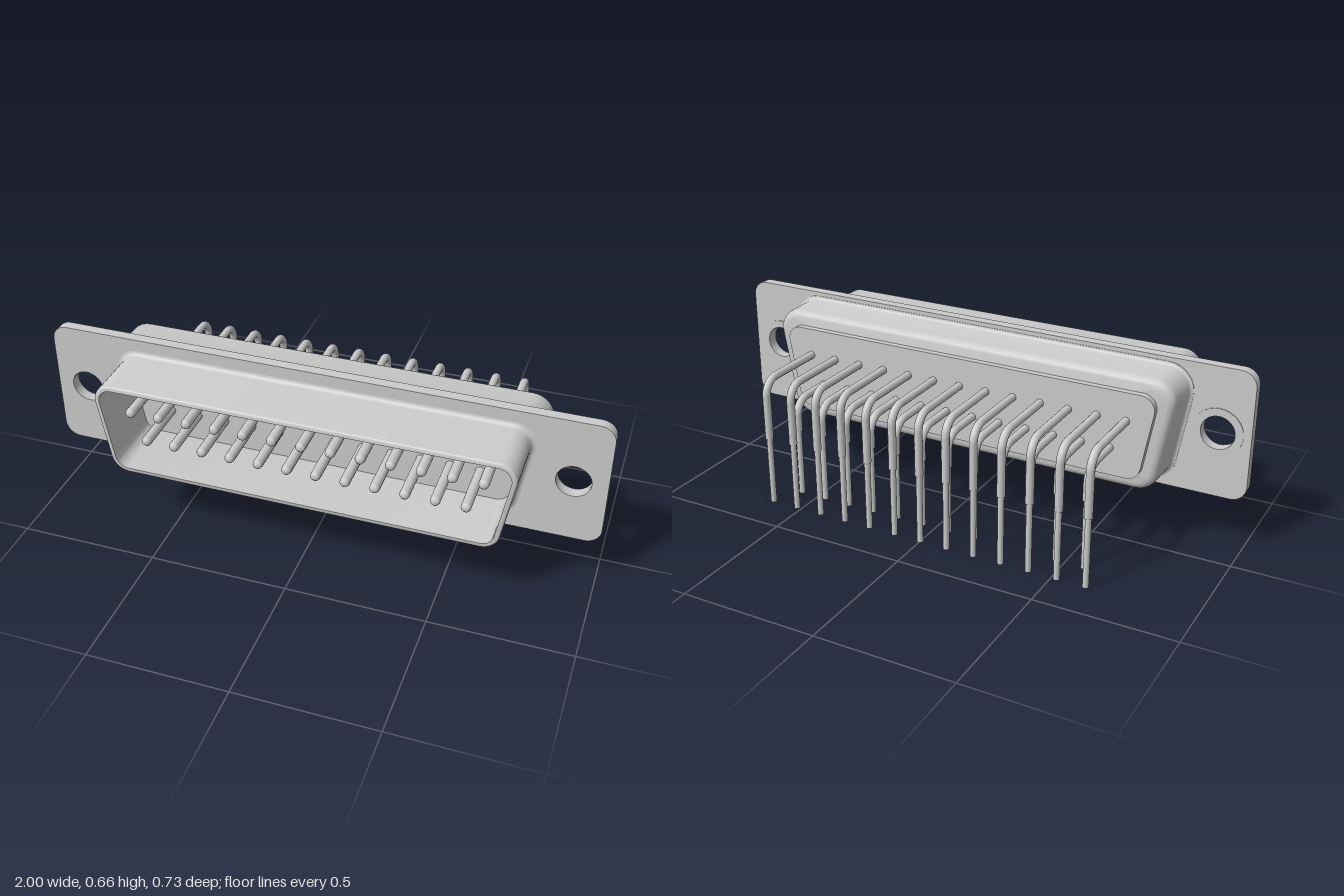
import * as THREE from 'three';
import { toCreasedNormals, mergeGeometries } from 'three/addons/utils/BufferGeometryUtils.js';

const material = new THREE.MeshStandardMaterial({ color: 0xcccccc });
const SLOPE = Math.tan(Math.PI / 18);

// D-shaped outline with 10 degree sides, counter-clockwise; d grows or shrinks it
function outline({ w, y0, y1, r }, d = 0) {
  const top = w - r, bottom = top - (y1 - y0 - 2 * r) * SLOPE;
  const corners = [
    [top, y1 - r, -10, 90], [-top, y1 - r, 90, 190],
    [-bottom, y0 + r, 190, 270], [bottom, y0 + r, 270, 350],
  ];
  const points = [];
  for (const [cx, cy, a0, a1] of corners) {
    for (let i = 0; i <= 8; i++) {
      const a = THREE.MathUtils.degToRad(a0 + (a1 - a0) * i / 8);
      points.push(new THREE.Vector2(cx + (r + d) * Math.cos(a), cy + (r + d) * Math.sin(a)));
    }
  }
  return points;
}

// Skin through D outlines at [offset, z] stations, with optional end faces
function loft(d, profile, capStart, capEnd) {
  const pos = [], index = [], n = outline(d).length, rows = profile.length;
  for (const [off, z] of profile) for (const p of outline(d, off)) pos.push(p.x, p.y, z);
  for (let j = 0; j < rows - 1; j++) {
    for (let i = 0; i < n; i++) {
      const k = (i + 1) % n, a = j * n + i, b = j * n + k;
      index.push(a, b, b + n, a, b + n, a + n);
    }
  }
  const cap = (row, flip) => {
    const c = pos.length / 3;
    pos.push(0, (d.y0 + d.y1) / 2, profile[row][1]);
    for (let i = 0; i < n; i++) {
      const a = row * n + i, b = row * n + (i + 1) % n;
      index.push(c, flip ? b : a, flip ? a : b);
    }
  };
  if (capStart) cap(0, true);
  if (capEnd) cap(rows - 1, false);
  const g = new THREE.BufferGeometry();
  g.setAttribute('position', new THREE.Float32BufferAttribute(pos, 3));
  g.setIndex(index);
  return toCreasedNormals(g, 0.6);
}

// Quarter-round stations about (cd, cz), from angle a0 to a1 in degrees
function arc(cd, cz, r, a0, a1) {
  return Array.from({ length: 6 }, (_, i) => {
    const a = THREE.MathUtils.degToRad(a0 + (a1 - a0) * i / 5);
    return [cd + r * Math.cos(a), cz + r * Math.sin(a)];
  });
}

function add(parent, geometry, name) {
  const mesh = new THREE.Mesh(geometry, material);
  mesh.name = name;
  parent.add(mesh);
  return mesh;
}

const FRONT = { w: 0.735, y0: 0.25, y1: 0.6, r: 0.065 };
const BACK = { w: 0.778, y0: 0.22, y1: 0.63, r: 0.08 };
const INSERT = { w: 0.72, y0: 0.27, y1: 0.58, r: 0.05 };
const FLOOR = 0.12;

function flangeGeometry() {
  const x = 1, y0 = 0.19, y1 = 0.66, r = 0.055;
  const s = new THREE.Shape();
  s.absarc(x - r, y1 - r, r, 0, Math.PI / 2);
  s.absarc(-x + r, y1 - r, r, Math.PI / 2, Math.PI);
  s.absarc(-x + r, y0 + r, r, Math.PI, Math.PI * 1.5);
  s.absarc(x - r, y0 + r, r, Math.PI * 1.5, Math.PI * 2);
  for (const side of [-1, 1]) {
    s.holes.push(new THREE.Path().absarc(side * 0.885, 0.425, 0.06, 0, Math.PI * 2, true));
  }
  s.holes.push(new THREE.Path(outline(FRONT, -0.018).reverse()));
  const g = new THREE.ExtrudeGeometry(s, { depth: 0.039, bevelEnabled: false, curveSegments: 16 });
  return toCreasedNormals(g.translate(0, 0, 0.108), 0.6);
}

// Contact: mating pin, horizontal tail, bend, thick leg and thin solder leg
function contactGeometry(y, zLeg) {
  const R = 0.058, r = 0.0145, stepY = 0.256, zBack = -0.05, tip = 0.338;
  const pinProfile = [[0.018, FLOOR - 0.01], [0.018, tip - 0.014], [0.0155, tip - 0.006], [0.009, tip - 0.001], [0, tip]]
    .map(([a, b]) => new THREE.Vector2(a, b));
  const pin = new THREE.LatheGeometry(pinProfile, 12).rotateX(Math.PI / 2).translate(0, y, 0);
  const len = zBack - (zLeg + R);
  const tail = new THREE.CylinderGeometry(r, r, len, 12, 1, true)
    .rotateX(Math.PI / 2).translate(0, y, zBack - len / 2);
  const bend = new THREE.TorusGeometry(R, r, 12, 10, Math.PI / 2)
    .rotateY(Math.PI / 2).translate(0, y - R, zLeg + R);
  const legLen = y - R - stepY;
  const leg = new THREE.CylinderGeometry(r, r, legLen, 12).translate(0, stepY + legLen / 2, zLeg);
  const solder = new THREE.CylinderGeometry(0.0108, 0.0108, stepY, 12).translate(0, stepY / 2, zLeg);
  return mergeGeometries([pin, tail, bend, leg, solder]);
}

export function createModel() {
  const model = new THREE.Group();
  model.name = 'connector';

  add(model, flangeGeometry(), 'flange');

  // Front shell: base fillet, outer wall, rounded rim, inner wall and floor
  add(model, loft(FRONT, [
    ...arc(0.016, 0.163, 0.016, 270, 180),
    ...arc(-0.009, 0.356, 0.009, 0, 90),
    [-0.018, 0.365], [-0.018, FLOOR],
  ], false, true), 'frontShell');

  // Back shell: rounded rear edge, wall and fillet against the flange
  add(model, loft(BACK, [
    ...arc(-0.03, -0.01, 0.03, 270, 360),
    ...arc(0.015, 0.093, 0.013, 180, 90),
    [0.015, 0.109],
  ], true, false), 'backShell');

  // Rear face of the insulator
  add(model, loft(INSERT, [[0, -0.063], [0, -0.03]], true, false), 'insulator');

  // Shallow seats behind the mounting holes
  for (const side of [-1, 1]) {
    const profile = [[0.06, 0], [0.06, -0.003], [0.088, -0.003], [0.088, 0]]
      .map(([a, b]) => new THREE.Vector2(a, b));
    const seat = toCreasedNormals(new THREE.LatheGeometry(profile.reverse(), 32), 0.6);
    // Open toward the flange, so both faces are drawn
    const mesh = add(model, seat.rotateX(Math.PI / 2), 'holeSeat');
    mesh.material = new THREE.MeshStandardMaterial({ color: 0xcccccc, side: THREE.DoubleSide });
    mesh.position.set(side * 0.885, 0.425, 0.108);
  }

  // Two staggered rows of contacts
  const pitch = 0.1038;
  for (const [count, y, zLeg, name] of [[13, 0.479, -0.348, 'upperContact'], [12, 0.372, -0.241, 'lowerContact']]) {
    const geometry = contactGeometry(y, zLeg);
    for (let i = 0; i < count; i++) {
      add(model, geometry, name).position.x = (i - (count - 1) / 2) * pitch;
    }
  }
  return model;
}
